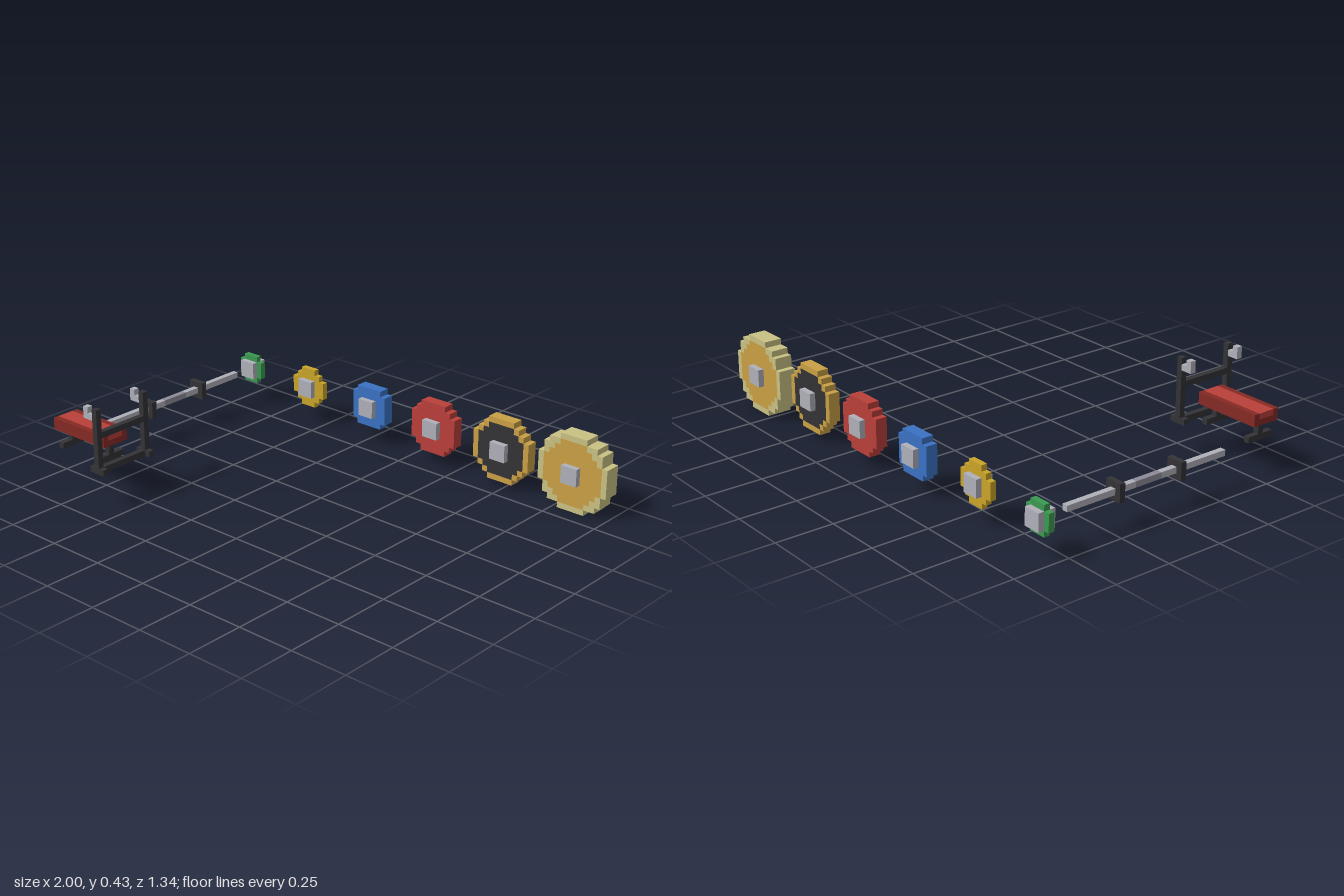
import * as THREE from 'three';

const V = 2 / 79; // size of one block

const flat = (name, color) => {
  const m = new THREE.MeshStandardMaterial({ color });
  m.name = name;
  return m;
};

// Box given by its minimum and maximum corner, in blocks
function box(parent, name, material, x0, x1, y0, y1, z0, z1) {
  const mesh = new THREE.Mesh(new THREE.BoxGeometry(x1 - x0, y1 - y0, z1 - z0), material);
  mesh.position.set((x0 + x1) / 2, (y0 + y1) / 2, (z0 + z1) / 2);
  mesh.name = name;
  parent.add(mesh);
  return mesh;
}

// Stepped circle outline; widths run from the middle row to the outermost row
function steppedOutline(widths) {
  const n = widths.length - 1;
  const right = [];
  for (let dy = -n; dy <= n; dy++) {
    const half = widths[Math.abs(dy)] / 2;
    right.push(new THREE.Vector2(half, dy - 0.5), new THREE.Vector2(half, dy + 0.5));
  }
  const left = right.map((p) => new THREE.Vector2(-p.x, p.y)).reverse();
  return [...right, ...left];
}

function slab(parent, name, material, widths, depth, holeWidths) {
  const shape = new THREE.Shape(steppedOutline(widths));
  if (holeWidths) shape.holes.push(new THREE.Path(steppedOutline(holeWidths)));
  const geometry = new THREE.ExtrudeGeometry(shape, { depth, bevelEnabled: false });
  const mesh = new THREE.Mesh(geometry, material);
  mesh.position.z = -depth;
  mesh.name = name;
  parent.add(mesh);
}

export function createModel() {
  const model = new THREE.Group();
  model.name = 'weightBenchSet';
  const root = new THREE.Group();
  root.name = 'blocks';
  root.scale.setScalar(V);
  model.add(root);

  const green = flat('green', 0x3a9a50);
  const yellow = flat('yellow', 0xcaa428);
  const blue = flat('blue', 0x3a72c4);
  const red = flat('red', 0xba3f3a);
  const darkRed = flat('darkRed', 0x862a24);
  const gold = flat('gold', 0xcaa045);
  const black = flat('black', 0x333336);
  const khaki = flat('khaki', 0xcac284);
  const steel = flat('steel', 0xb0b0ba);
  const grip = flat('gripGrey', 0x8e8c98);

  // Row of weight plates, smallest to largest
  const round9 = [9, 9, 9, 7, 5];
  const round11 = [11, 11, 11, 9, 7, 5];
  const round13 = [13, 13, 13, 11, 11, 9, 5];
  const plates = [
    { name: 'greenPlate', rim: green, rows: [5, 5, 3], depth: 1 },
    { name: 'yellowPlate', rim: yellow, rows: [7, 7, 5, 3], depth: 1 },
    { name: 'bluePlate', rim: blue, rows: [7, 7, 7, 5], depth: 2 },
    { name: 'redPlate', rim: red, rows: round9, depth: 2 },
    { name: 'blackPlate', rim: gold, rows: round11, depth: 2, core: black, coreRows: round9 },
    { name: 'goldPlate', rim: khaki, rows: round13, depth: 3, core: gold, coreRows: round11 },
  ];
  plates.forEach((p, i) => {
    const plate = new THREE.Group();
    plate.name = p.name;
    plate.position.set(-37 + 14 * i, 6.5, -22.5);
    slab(plate, 'rim', p.rim, p.rows, p.depth, p.coreRows);
    if (p.core) slab(plate, 'core', p.core, p.coreRows, p.depth);
    box(plate, 'hub', steel, -1.5, 1.5, -1.5, 1.5, -p.depth - 1, 1);
    root.add(plate);
  });

  // Barbell lying along z
  const barbell = new THREE.Group();
  barbell.name = 'barbell';
  barbell.position.set(-37, 6.5, -3);
  root.add(barbell);
  box(barbell, 'grip', grip, -0.5, 0.5, -0.5, 0.5, -2.5, 2.5);
  for (const s of [-1, 1]) {
    box(barbell, 'bar', steel, -0.5, 0.5, -0.5, 0.5, s < 0 ? -15.5 : 2.5, s < 0 ? -2.5 : 15.5);
    box(barbell, 'collar', black, -1.5, 1.5, -1.5, 1.5, 6 * s - 0.5, 6 * s + 0.5);
  }

  // Bench with padded seat
  const bench = new THREE.Group();
  bench.name = 'bench';
  bench.position.z = 21;
  root.add(bench);
  box(bench, 'seatBase', darkRed, -37.5, -25.5, 9, 10, -2.5, 2.5);
  box(bench, 'seatPad', red, -37.5, -25.5, 10, 11, -1.5, 1.5);
  for (const z of [-2, 2]) box(bench, 'seatEdge', darkRed, -37.5, -25.5, 10, 11, z - 0.5, z + 0.5);
  box(bench, 'rail', black, -36.5, -26.5, 8, 9, -0.5, 0.5);
  for (const x of [-36, -27]) {
    box(bench, 'leg', black, x - 0.5, x + 0.5, 7, 8, -0.5, 0.5);
    box(bench, 'foot', black, x - 0.5, x + 0.5, 6, 7, -2.5, 2.5);
  }

  // Rack at the head of the bench
  const rack = new THREE.Group();
  rack.name = 'rack';
  rack.position.set(-24, 0, 21);
  root.add(rack);
  box(rack, 'upperCrossbar', black, -0.5, 0.5, 12, 13, -4.5, 4.5);
  box(rack, 'lowerCrossbar', black, -0.5, 0.5, 6, 7, -4.5, 4.5);
  for (const z of [-5, 5]) {
    box(rack, 'upright', black, -0.5, 0.5, 7, 17, z - 0.5, z + 0.5);
    box(rack, 'rackFoot', black, -1.5, 1.5, 6, 7, z - 0.5, z + 0.5);
    box(rack, 'hookArm', steel, -2.5, -0.5, 15, 16, z - 0.5, z + 0.5);
    box(rack, 'hookTip', steel, -2.5, -1.5, 16, 17, z - 0.5, z + 0.5);
  }

  return model;
}
